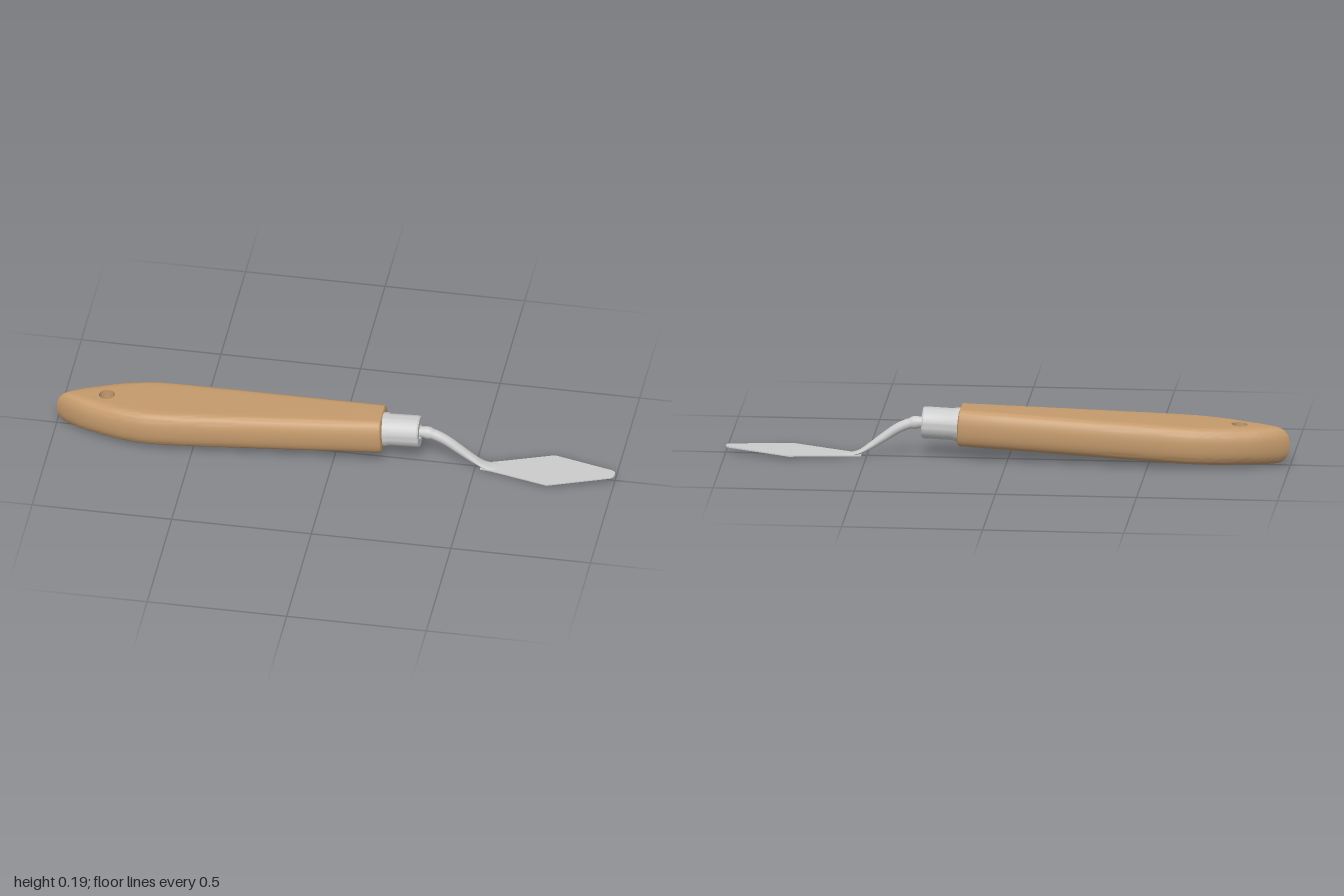
import * as THREE from 'three';
import { mergeGeometries, toCreasedNormals } from 'three/addons/utils/BufferGeometryUtils.js';

// Skin through a list of closed rings of Vector3
function loft(rings) {
  const n = rings[0].length, index = [];
  for (let i = 0; i < rings.length - 1; i++) {
    for (let j = 0; j < n; j++) {
      const k = (j + 1) % n;
      const a = i * n + j, b = i * n + k, c = a + n, d = b + n;
      index.push(a, b, d, a, d, c);
    }
  }
  const g = new THREE.BufferGeometry().setFromPoints(rings.flat());
  g.setIndex(index);
  g.computeVertexNormals();
  return g;
}

function part(name, geometry, material) {
  const mesh = new THREE.Mesh(geometry, material);
  mesh.name = name;
  return mesh;
}

// Wooden handle: plan outline with rounded edges and a drilled hanging hole
function handleGeometry() {
  const halfHeight = 0.067, holeX = -0.818, holeR = 0.028;
  const curve = new THREE.SplineCurve([
    [-1, 0.004], [-0.97, 0.026], [-0.9, 0.063], [-0.8, 0.098], [-0.7, 0.118],
    [-0.62, 0.122], [-0.5, 0.118], [-0.3, 0.107],
  ].map(([x, w]) => new THREE.Vector2(x, w)));
  const side = curve.getPoints(36);
  side.push(...[[0, 0.0895], [0.163, 0.08], [0.171, 0.077], [0.175, 0.069]]
    .map(([x, w]) => new THREE.Vector2(x, w)));
  const mirror = (pts) => [...pts, ...pts.slice().reverse().map((p) => new THREE.Vector2(p.x, -p.y))];

  // Edge of the flat top and bottom, inset from the plan outline
  const inset = (p) => {
    const back = Math.max(0, (-0.6 - p.x) / 0.4);
    const x = Math.min(p.x + 0.065 * back * back, 0.167);
    return new THREE.Vector2(x, p.y - Math.min(0.041, p.y * 0.5));
  };
  const outer = mirror(side), inner = mirror(side.map(inset));

  const rings = [], steps = 20;
  for (let i = 0; i <= steps; i++) {
    const a = (i / steps - 0.5) * Math.PI;
    const k = Math.pow(Math.max(0, Math.cos(a)), 0.85);
    const y = Math.sign(a) * Math.pow(Math.abs(Math.sin(a)), 0.9) * halfHeight;
    rings.push(outer.map((p, j) => {
      const q = inner[j].clone().lerp(p, k);
      return new THREE.Vector3(q.x, y, q.y);
    }));
  }

  const flat = new THREE.Shape(inner);
  flat.holes.push(new THREE.Path().absarc(holeX, 0, holeR, 0, Math.PI * 2, true));
  const top = new THREE.ShapeGeometry(flat, 16).rotateX(-Math.PI / 2).translate(0, halfHeight, 0);
  const bottom = new THREE.ShapeGeometry(flat, 16).rotateX(Math.PI / 2).translate(0, -halfHeight, 0);

  // Hole wall, facing inwards
  const circle = (y) => Array.from({ length: 32 }, (_, i) => {
    const a = (i / 32) * Math.PI * 2;
    return new THREE.Vector3(holeX + holeR * Math.cos(a), y, holeR * Math.sin(a));
  });
  const wall = loft([circle(-halfHeight), circle(halfHeight)]);

  const pieces = [loft(rings), top, bottom, wall].map((g) => {
    g.deleteAttribute('normal');
    g.deleteAttribute('uv');
    return g;
  });
  return toCreasedNormals(mergeGeometries(pieces), 0.7);
}

// Hollow metal collar around the x axis
function ferruleGeometry() {
  const profile = [
    [0.028, 0.16], [0.06, 0.16], [0.06, 0.186], [0.0565, 0.194], [0.0565, 0.298],
    [0.053, 0.303], [0.028, 0.303], [0.028, 0.16],
  ].map(([r, y]) => new THREE.Vector2(r, y));
  return toCreasedNormals(new THREE.LatheGeometry(profile, 48).rotateZ(-Math.PI / 2), 0.5);
}

// Bent shank: round at the collar, flattening into the blade
function shankGeometry() {
  const stations = [ // x, y, half thickness, half width
    [0.17, 0.12, 0.019, 0.019], [0.30, 0.126, 0.019, 0.019], [0.345, 0.121, 0.019, 0.019],
    [0.39, 0.102, 0.018, 0.0185], [0.44, 0.068, 0.016, 0.0185], [0.49, 0.033, 0.012, 0.019],
    [0.525, 0.013, 0.0075, 0.021], [0.555, 0.0055, 0.004, 0.024], [0.6, 0.0065, 0.0015, 0.025],
  ];
  const path = new THREE.CatmullRomCurve3(stations.map(([x, y]) => new THREE.Vector3(x, y, 0)));
  const size = new THREE.CatmullRomCurve3(stations.map(([, , t, w]) => new THREE.Vector3(t, w, 0)));
  const rings = [], steps = 48, sides = 24;
  for (let i = 0; i <= steps; i++) {
    const u = i / steps;
    const p = path.getPoint(u), t = path.getTangent(u), s = size.getPoint(u);
    rings.push(Array.from({ length: sides }, (_, j) => {
      const a = (j / sides) * Math.PI * 2, h = Math.cos(a) * s.x;
      return new THREE.Vector3(p.x - t.y * h, p.y + t.x * h, Math.sin(a) * s.y);
    }));
  }
  return loft(rings);
}

// Thin diamond blade with a blunt tip
function bladeGeometry() {
  const half = [[-0.03, 0.02], [0, 0.025], [0.04, 0.036], [0.22, 0.09], [0.437, 0.023], [0.447, 0.015], [0.45, 0.006]];
  const pts = [...half, ...half.slice().reverse().map(([x, w]) => [x, -w])];
  const shape = new THREE.Shape(pts.map(([x, w]) => new THREE.Vector2(x, w)));
  return new THREE.ExtrudeGeometry(shape, { depth: 0.004, bevelEnabled: false }).rotateX(-Math.PI / 2);
}

export function createModel() {
  const wood = new THREE.MeshStandardMaterial({ color: 0xc49a6c });
  const metal = new THREE.MeshStandardMaterial({ color: 0xcccccc });
  const model = new THREE.Group();
  model.name = 'paletteKnife';

  // Handle and collar share a slight upward tilt
  const grip = new THREE.Group();
  grip.name = 'grip';
  grip.add(part('handle', handleGeometry(), wood), part('ferrule', ferruleGeometry(), metal));
  grip.rotation.z = 0.043;
  grip.position.y = 0.1127;

  const blade = part('blade', bladeGeometry(), metal);
  blade.rotation.z = 0.047;
  blade.position.set(0.55, 0.0015, 0);

  model.add(grip, part('shank', shankGeometry(), metal), blade);
  return model;
}
